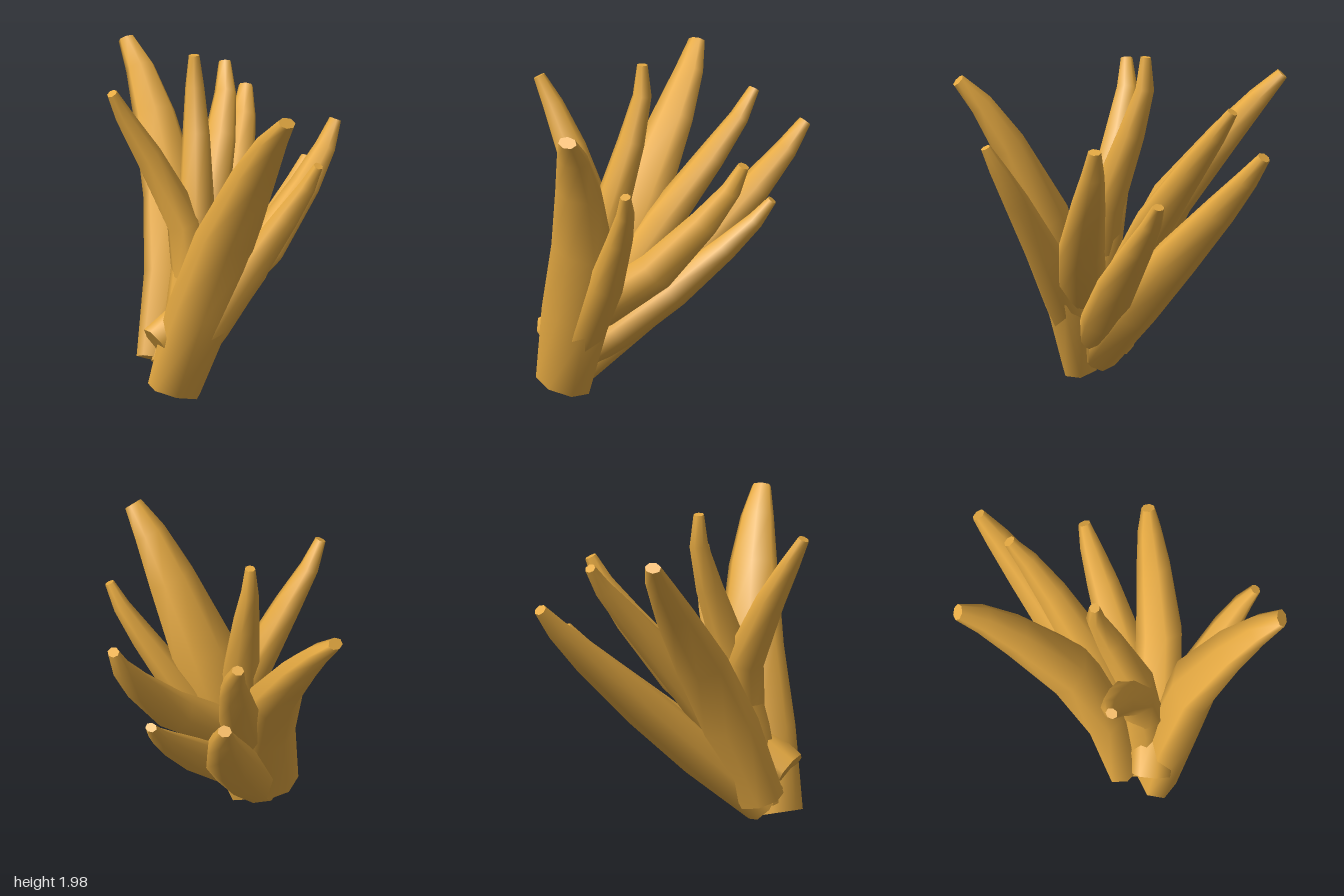
import * as THREE from 'three';

const SIDES = 7;
const UP = new THREE.Vector3(0, 1, 0);
const material = new THREE.MeshStandardMaterial({ color: 0xe6aa42 });

// Shared taper: position along the fruit and thickness there
const TAPER = [[0, 0.8], [0.25, 1], [0.5, 0.95], [0.75, 0.7], [0.9, 0.48], [1, 0.27]];

// Lofts oval rings along a curve and closes both ends with flat caps.
function fruitGeometry(points, halfWidth, halfDepth, side) {
  const curve = new THREE.CatmullRomCurve3(points.map(p => new THREE.Vector3(...p)));
  const reach = curve.getPoint(1).sub(curve.getPoint(0)).setY(0);
  const width = side ?? UP.clone().cross(reach);
  const positions = [];
  const index = [];
  const addRing = ring => ring.forEach(p => positions.push(p.x, p.y, p.z));

  const rings = TAPER.map(([t, size]) => {
    const centre = curve.getPointAt(t);
    const along = curve.getTangentAt(t);
    const s = width.clone().projectOnPlane(along).normalize();
    const n = along.clone().cross(s);
    return Array.from({ length: SIDES }, (_, j) => {
      const a = (j / SIDES) * Math.PI * 2;
      return centre.clone()
        .addScaledVector(s, Math.cos(a) * halfWidth * size)
        .addScaledVector(n, Math.sin(a) * halfDepth * size);
    });
  });

  rings.forEach(addRing);
  for (let i = 0; i < rings.length - 1; i++) {
    for (let j = 0; j < SIDES; j++) {
      const a = i * SIDES + j;
      const b = i * SIDES + ((j + 1) % SIDES);
      index.push(a, b, b + SIDES, a, b + SIDES, a + SIDES);
    }
  }

  // Caps own their vertices so that the cut edges stay sharp
  for (const ring of [rings[0].slice().reverse(), rings[rings.length - 1]]) {
    const start = positions.length / 3;
    addRing(ring);
    for (let j = 1; j < SIDES - 1; j++) index.push(start, start + j, start + j + 1);
  }

  const geometry = new THREE.BufferGeometry();
  geometry.setAttribute('position', new THREE.Float32BufferAttribute(positions, 3));
  geometry.setIndex(index);
  geometry.computeVertexNormals();
  return geometry;
}

export function createModel() {
  const bunch = new THREE.Group();
  bunch.name = 'fruitBunch';

  // Points run from the root through the belly and neck to the tip
  function addFruit(name, points, halfWidth, halfDepth, side) {
    const mesh = new THREE.Mesh(fruitGeometry(points, halfWidth, halfDepth, side), material);
    mesh.name = name;
    bunch.add(mesh);
  }

  // Two broad outer fruits, flattened front to back
  const across = new THREE.Vector3(1, 0, 0);
  addFruit('frontFruit',
    [[-0.42, 0.06, 0.26], [-0.17, 1.0, 0.45], [-0.03, 1.72, 0.84], [0, 1.85, 0.96]], 0.22, 0.15, across);
  addFruit('backFruit',
    [[-0.42, 0.2, 0.06], [-0.22, 0.9, -0.16], [-0.16, 1.7, -0.78], [-0.19, 1.89, -0.96]], 0.19, 0.14, across);

  // Upright fruits
  addFruit('rightFruit',
    [[-0.35, 0.12, 0.22], [-0.25, 0.9, 0.13], [-0.63, 1.7, 0.01], [-0.72, 1.87, 0.02]], 0.14, 0.12);
  addFruit('middleFruit',
    [[-0.4, 0.14, 0.2], [-0.22, 1.0, 0.12], [-0.11, 1.77, -0.14], [-0.11, 1.99, -0.15]], 0.12, 0.12);

  // Fruits fanning out to the left
  addFruit('backLeftUpperFruit',
    [[-0.42, 0.2, 0.18], [-0.03, 0.95, -0.17], [0.3, 1.6, -0.61], [0.34, 1.75, -0.71]], 0.14, 0.12);
  addFruit('backLeftLowerFruit',
    [[-0.38, 0.13, 0.16], [0.05, 0.66, -0.22], [0.48, 1.32, -0.77], [0.57, 1.52, -0.92]], 0.16, 0.14);
  addFruit('leftUpperFruit',
    [[-0.53, 0.36, 0.24], [0.12, 0.79, 0.22], [0.63, 1.39, 0.1], [0.71, 1.56, 0.08]], 0.15, 0.13);
  addFruit('leftLowerFruit',
    [[-0.43, 0.15, 0.2], [0.1, 0.59, 0.02], [0.6, 1.1, -0.25], [0.69, 1.23, -0.3]], 0.14, 0.11);
  addFruit('frontLeftFruit',
    [[-0.4, 0.12, 0.25], [-0.02, 0.8, 0.45], [0.26, 1.38, 0.71], [0.29, 1.5, 0.77]], 0.12, 0.11);

  return bunch;
}
